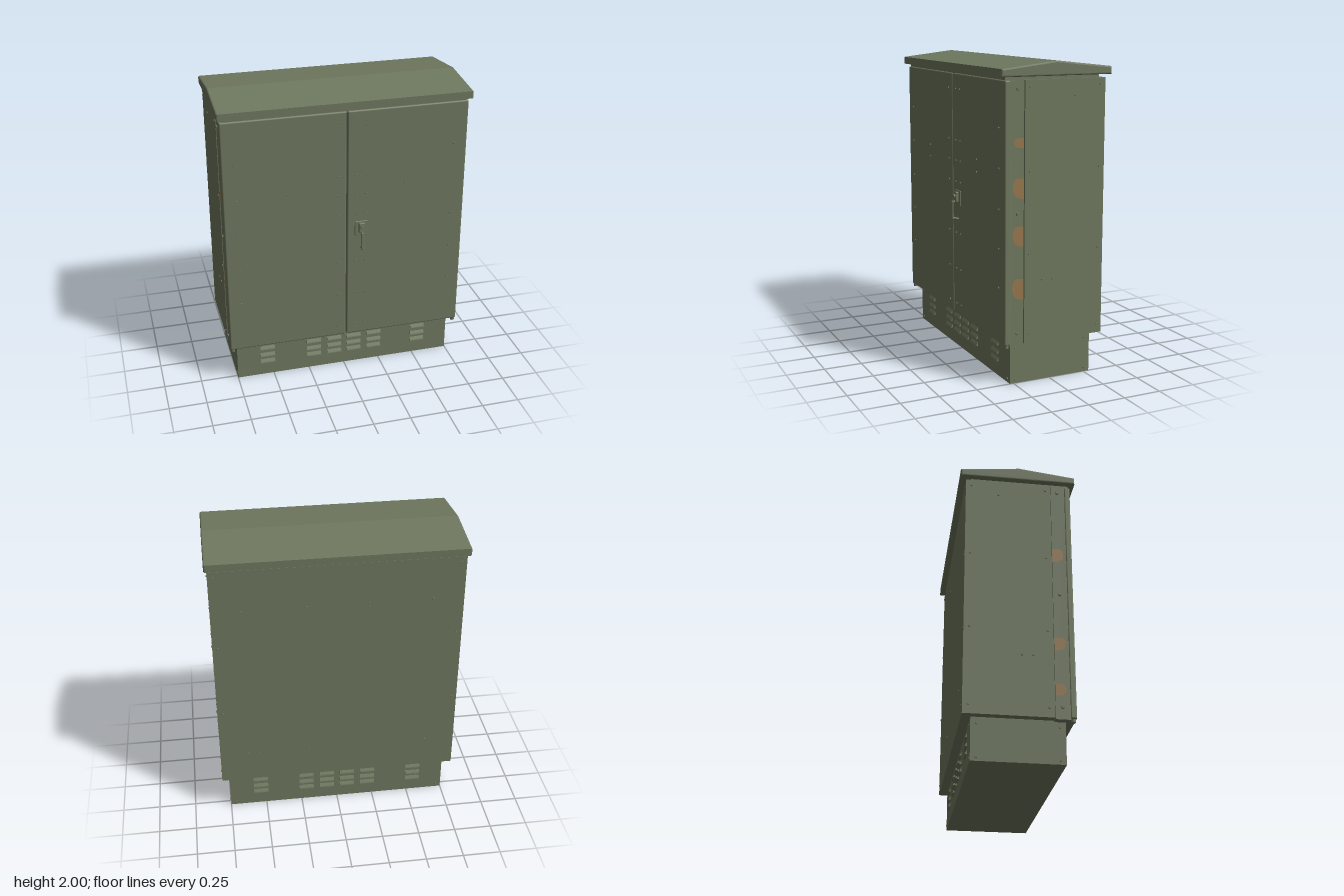
import * as THREE from 'three';
import { RoundedBoxGeometry } from 'three/addons/geometries/RoundedBoxGeometry.js';

export function createModel() {
  const root = new THREE.Group();
  const olive = new THREE.MeshStandardMaterial({ color: 0x6f785f });
  olive.name = 'olive paint';
  const rust = new THREE.MeshStandardMaterial({ color: 0x96784f, side: THREE.DoubleSide });
  rust.name = 'tan patch';

  const add = (name, geometry, material = olive, parent = root) => {
    const mesh = new THREE.Mesh(geometry, material);
    mesh.name = name;
    parent.add(mesh);
    return mesh;
  };
  const group = (name) => {
    const g = new THREE.Group();
    g.name = name;
    root.add(g);
    return g;
  };
  // Box given by its limits, rounded if a radius is given
  const box = (name, [x0, x1], [y0, y1], [z0, z1], r = 0, parent = root) => {
    const size = [x1 - x0, y1 - y0, z1 - z0];
    const g = r ? new RoundedBoxGeometry(...size, 3, r) : new THREE.BoxGeometry(...size);
    g.translate((x0 + x1) / 2, (y0 + y1) / 2, (z0 + z1) / 2);
    return add(name, g, olive, parent);
  };
  // Profile of [z, y] points extruded along x, centred on x = 0
  const alongX = (points, length, bevel = 0) => {
    const g = new THREE.ExtrudeGeometry(new THREE.Shape(points.map((p) => new THREE.Vector2(...p))), {
      depth: length - 2 * bevel, bevelEnabled: bevel > 0, bevelSize: bevel,
      bevelThickness: bevel, bevelOffset: -bevel, bevelSegments: 3,
    });
    return g.translate(0, 0, bevel - length / 2).rotateY(-Math.PI / 2);
  };

  // Plinth, cabinet and neck under the roof
  box('plinth', [-0.75, 0.75], [0, 0.27], [-0.29, 0.275]);
  box('cabinet', [-0.8, 0.8], [0.27, 1.89], [-0.345, 0.203]);
  box('neck', [-0.78, 0.78], [1.88, 1.925], [-0.31, 0.325]);

  // Gabled roof
  add('roof', alongX([[0.365, 1.91], [0.365, 1.958], [0, 2], [-0.38, 1.958], [-0.38, 1.91]], 1.635, 0.01));

  // Door frame and paired doors
  box('frameSeam', [-0.785, 0.785], [0.28, 1.88], [0.2, 0.21]);
  box('doorFrame', [-0.797, 0.797], [0.262, 1.89], [0.208, 0.3]);
  for (const s of [-1, 1]) {
    const xs = s > 0 ? [0.003, 0.8] : [-0.8, -0.003];
    box('door', xs, [0.27, 1.89], [0.295, 0.335], 0.01);
    const tab = add('hingeTab', new THREE.CylinderGeometry(0.014, 0.014, 0.02, 12));
    tab.position.set(s * 0.782, 0.26, 0.315);
  }

  // Bolts: dome heads facing along one axis
  const bolts = group('bolts');
  const boltGeo = {
    z: new THREE.CylinderGeometry(0.006, 0.008, 0.008, 8).rotateX(Math.PI / 2),
    '-z': new THREE.CylinderGeometry(0.006, 0.008, 0.008, 8).rotateX(-Math.PI / 2),
    x: new THREE.CylinderGeometry(0.006, 0.008, 0.008, 8).rotateZ(-Math.PI / 2),
    '-x': new THREE.CylinderGeometry(0.006, 0.008, 0.008, 8).rotateZ(Math.PI / 2),
  };
  const bolt = (axis, x, y, z, scale = 1) => {
    const m = add('bolt', boltGeo[axis], olive, bolts);
    m.position.set(x, y, z);
    m.scale.setScalar(scale);
  };

  // Door bolts
  for (const x of [-0.055, 0.06, 0.13])
    for (const y of [1.79, 1.455, 1.32, 1.18, 0.835, 0.59, 0.345]) bolt('z', x, y, 0.337);
  for (const s of [-1, 1]) {
    for (const y of [1.605, 1.36, 1.11, 0.865, 0.62]) bolt('z', s * 0.715, y, 0.337);
    for (const y of [1.37, 1.29]) bolt('z', s * 0.39, y, 0.337);
    const ax = s > 0 ? 'x' : '-x';
    // Side panel bolts
    for (const y of [1.85, 1.345, 0.835, 0.33]) {
      bolt(ax, s * 0.802, y, -0.31);
      bolt(ax, s * 0.802, y, 0.17);
      bolt('-z', s * 0.765, y, -0.347);
    }
    for (const [z, y] of [[-0.135, 1.79], [0.08, 0.665], [0.01, 0.665]]) bolt(ax, s * 0.802, y, z);
    // Large hinge bolts on the frame
    for (const y of [1.84, 1.09, 0.34]) bolt(ax, s * 0.8, y, 0.25, 1.5);
    // Plinth bolts
    for (const y of [0.23, 0.025]) {
      bolt('z', s * 0.715, y, 0.277);
      bolt('-z', s * 0.715, y, -0.292);
      for (const z of [0.24, -0.255]) bolt(ax, s * 0.752, y, z);
    }
  }
  bolt('z', 0, 0.23, 0.277);
  bolt('-z', 0, 0.23, -0.292);
  // Back panel bolts
  for (const x of [0.61, 0.2, -0.19, -0.6]) bolt('-z', x, 1.605, -0.347);
  for (const x of [0.61, 0.54, 0.2, -0.6]) bolt('-z', x, 0.49, -0.347);

  // Plinth louvres, front and back
  const louvres = group('louvres');
  const louvreGeo = alongX([[-0.001, -0.014], [0.013, -0.014], [0.011, -0.008], [-0.001, 0.014]], 0.1);
  for (const x of [-0.54, -0.215, -0.07, 0.07, 0.215, 0.535])
    for (const y of [0.215, 0.16, 0.11])
      for (const back of [false, true]) {
        const m = add('louvre', louvreGeo, olive, louvres);
        m.position.set(x, y, back ? -0.29 : 0.275);
        if (back) m.rotation.y = Math.PI;
      }

  // Swing handle on its lock plate
  const handle = group('handle');
  box('lockPlate', [0.053, 0.14], [1.025, 1.127], [0.333, 0.343], 0.004, handle);
  box('lockBody', [0.076, 0.116], [1.05, 1.118], [0.34, 0.362], 0.006, handle);
  const path = new THREE.CurvePath();
  const pts = [[0.345, 1.06], [0.378, 1.05], [0.378, 0.945], [0.337, 0.935]]
    .map(([z, y]) => new THREE.Vector3(0.096, y, z));
  for (let i = 0; i < 3; i++) path.add(new THREE.LineCurve3(pts[i], pts[i + 1]));
  add('lever', new THREE.TubeGeometry(path, 30, 0.007, 8), olive, handle).scale.set(1, 1, 1);
  box('leverGrip', [0.085, 0.107], [0.935, 1.06], [0.373, 0.385], 0.005, handle);
  const pivot = add('pivot', new THREE.CylinderGeometry(0.013, 0.013, 0.03, 12).rotateX(Math.PI / 2), olive, handle);
  pivot.position.set(0.096, 1.09, 0.358);

  // Tan patches on the frame sides: [centre y, height, reach along z]
  const patches = { 1: [[1.518, 0.062, 0.066], [1.245, 0.13, 0.073], [0.95, 0.13, 0.074], [0.622, 0.135, 0.076]],
    '-1': [[1.37, 0.1, 0.07], [0.75, 0.09, 0.07], [0.45, 0.08, 0.066]] };
  for (const s of [1, -1])
    for (const [y, h, w] of patches[s]) {
      const k = -s;
      const shape = new THREE.Shape();
      shape.moveTo(0, -h / 2);
      shape.bezierCurveTo(k * w * 0.7, -h / 2, k * w, -h * 0.3, k * w, h * 0.05);
      shape.bezierCurveTo(k * w, h * 0.4, k * w * 0.8, h * 0.55, 0, h * 0.45);
      shape.closePath();
      const m = add('patch', new THREE.ShapeGeometry(shape).rotateY((s * Math.PI) / 2), rust);
      m.position.set(s * 0.7985, y, 0.209);
    }
  return root;
}
